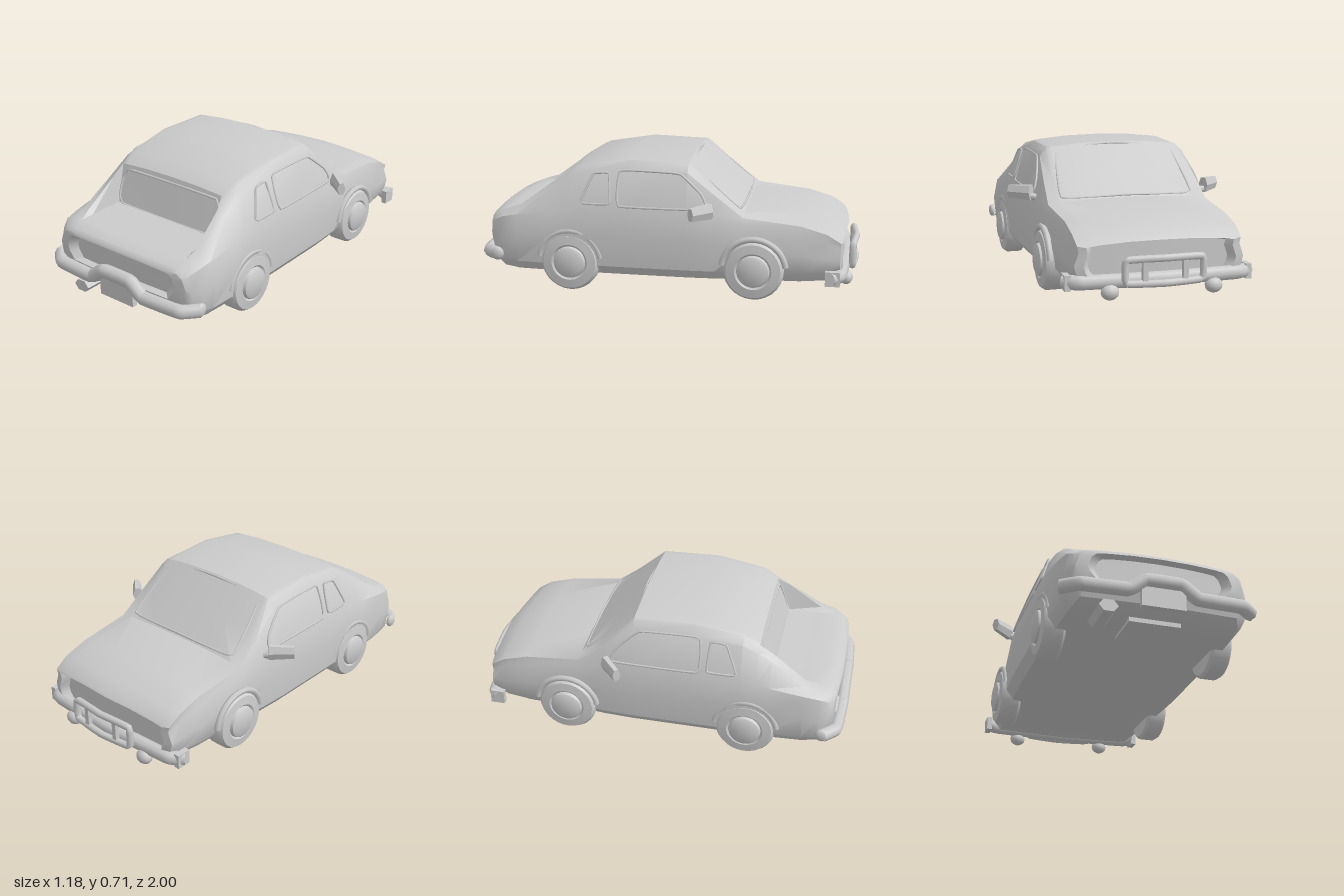
import * as THREE from 'three';
import { toCreasedNormals } from 'three/addons/utils/BufferGeometryUtils.js';

const grey = new THREE.MeshStandardMaterial({ color: 0xcccccc });
const mix = THREE.MathUtils.lerp;

// z, half width, floor y, shoulder y, roof edge x, roof edge y, centre top y, optional sunken deck y
const SECTIONS = [
  [-0.93, 0.425, 0.12, 0.27, 0.37, 0.31, 0.33],
  [-0.86, 0.44, 0.10, 0.31, 0.375, 0.355, 0.37],
  [-0.70, 0.45, 0.09, 0.34, 0.375, 0.395, 0.42],
  [-0.41, 0.465, 0.09, 0.38, 0.385, 0.425, 0.44],
  [-0.27, 0.48, 0.09, 0.43, 0.375, 0.54, 0.565],
  [-0.12, 0.487, 0.09, 0.44, 0.36, 0.675, 0.70],
  [0.19, 0.487, 0.09, 0.44, 0.36, 0.685, 0.71],
  [0.45, 0.487, 0.09, 0.44, 0.35, 0.645, 0.665],
  [0.53, 0.485, 0.09, 0.43, 0.345, 0.60, 0.615],
  [0.60, 0.485, 0.09, 0.42, 0.345, 0.555, 0.565, 0.41],
  [0.78, 0.475, 0.09, 0.39, 0.36, 0.425, 0.43, 0.40],
  [0.86, 0.465, 0.10, 0.375, 0.36, 0.40, 0.41, 0.40],
  [0.93, 0.44, 0.13, 0.35, 0.34, 0.38, 0.39],
  [0.95, 0.42, 0.20, 0.34, 0.33, 0.365, 0.375],
];

// Closed outline of one body section, counter-clockwise from the floor centre
function ring([z, w, yb, ys, rx, ry, top, deck], scale = 1, zAt = z) {
  const half = [
    [0, yb], [w - 0.05, yb], [w - 0.01, yb + 0.05], [w, mix(yb, ys, 0.6)],
    [w - 0.022, ys], [rx + 0.04, ry - (ry - ys) * 0.17], [rx, ry],
    [rx - 0.025, deck ?? mix(ry, top, 0.2)], [rx * 0.5, deck ?? mix(ry, top, 0.8)], [0, deck ?? top],
  ];
  const full = [...half, ...half.slice(1, -1).reverse().map(([x, y]) => [-x, y])];
  const cy = (yb + top) / 2;
  return full.map(([x, y]) => {
    const px = x * scale;
    const bend = z < -0.8 ? 0.06 * Math.abs(px) : z > 0.9 ? -0.12 * px * px : 0;
    return [px, cy + (y - cy) * scale, zAt + bend];
  });
}

// Skin a run of equal-length rings
function loft(rings) {
  const n = rings[0].length;
  const index = [];
  for (let i = 0; i < rings.length - 1; i++) {
    for (let j = 0; j < n; j++) {
      const a = i * n + j, b = i * n + (j + 1) % n;
      index.push(a, b, a + n, b, b + n, a + n);
    }
  }
  const g = new THREE.BufferGeometry();
  g.setAttribute('position', new THREE.Float32BufferAttribute(rings.flat(2), 3));
  g.setIndex(index);
  return toCreasedNormals(g, 0.6);
}

// Round bar through points, with tight corners
function bar(points, radius, closed = false, sides = 8) {
  const curve = new THREE.CatmullRomCurve3(points.map(p => new THREE.Vector3(...p)), closed, 'catmullrom', 0.12);
  return new THREE.TubeGeometry(curve, points.length * 8, radius, sides, closed);
}

const mirrorPath = half => [...half, ...half.filter(p => p[0] !== 0).reverse().map(([x, y, z]) => [-x, y, z])];

export function createModel() {
  const car = new THREE.Group();
  car.name = 'car';
  const add = (name, geometry, x = 0, y = 0, z = 0, parent = car) => {
    const mesh = new THREE.Mesh(geometry, grey);
    mesh.name = name;
    mesh.position.set(x, y, z);
    parent.add(mesh);
    return mesh;
  };

  // Body shell, with recessed nose and tail panels
  const nose = SECTIONS[0], tail = SECTIONS[SECTIONS.length - 1];
  add('body', loft([
    ring(nose, 0.001, -0.9), ring(nose, 0.83, -0.9), ring(nose, 0.9, -0.94),
    ...SECTIONS.map(s => ring(s)),
    ring(tail, 0.86, 0.955), ring(tail, 0.76, 0.92), ring(tail, 0.001, 0.92),
  ]));

  // Window surrounds
  add('windscreenFrame', bar([
    [0.35, 0.449, -0.385], [0.31, 0.665, -0.13], [0, 0.693, -0.13],
    [-0.31, 0.665, -0.13], [-0.35, 0.449, -0.385], [0, 0.452, -0.4],
  ], 0.006, true, 6));
  add('rearWindowFrame', bar([
    [0.31, 0.41, 0.6], [0.305, 0.58, 0.54], [-0.305, 0.58, 0.54], [-0.31, 0.41, 0.6],
  ], 0.007, true, 6));
  const doorWindow = [[0.23, 0.46], [0.23, 0.635], [-0.08, 0.63], [-0.2, 0.53], [-0.22, 0.46]];
  const quarterWindow = [[0.28, 0.47], [0.29, 0.62], [0.37, 0.615], [0.43, 0.47]];

  for (const side of [1, -1]) {
    const label = side > 0 ? 'left' : 'right';
    for (const [name, pts] of [['DoorWindowFrame', doorWindow], ['QuarterWindowFrame', quarterWindow]]) {
      const path = pts.map(([z, y]) => [side * (0.465 - (y - 0.44) * 0.32), y, z]);
      add(label + name, bar(path, 0.006, true, 6));
    }

    // Wheels: tyre profile with a raised hub cap on the outer face
    for (const [end, z] of [['Rear', 0.49], ['Front', -0.47]]) {
      const profile = [
        [0, -0.06], [0.14, -0.06], [0.155, -0.045], [0.155, 0.03], [0.14, 0.052],
        [0.095, 0.058], [0.085, 0.05], [0.08, 0.066], [0.065, 0.074], [0, 0.076],
      ].map(([r, h]) => new THREE.Vector2(r, h));
      const wheel = add(label + end + 'Wheel', toCreasedNormals(new THREE.LatheGeometry(profile, 28), 0.7), side * 0.435, 0.155, z);
      wheel.rotation.z = -side * Math.PI / 2;
      // Flared lip above the wheel
      const lip = add(label + end + 'Arch', new THREE.TorusGeometry(0.165, 0.016, 6, 20, Math.PI * 0.9), side * 0.472, 0.155, z);
      lip.rotation.set(0, Math.PI / 2, 0);
      lip.geometry.rotateZ(Math.PI * 0.05);
    }

    // Door mirror: angled faceted housing on a short stalk
    const mirror = new THREE.Group();
    mirror.name = label + 'Mirror';
    mirror.position.set(side * 0.525, 0.46, -0.205);
    mirror.rotation.y = -side * 0.72;
    car.add(mirror);
    const housing = new THREE.CylinderGeometry(0.045, 0.037, 0.13, 6);
    housing.rotateZ(Math.PI / 2);
    housing.scale(side, 1, 0.6);
    if (side < 0) housing.scale(-1, 1, 1).rotateY(Math.PI);
    add('mirrorHousing', toCreasedNormals(housing, 0.4), 0, 0, 0, mirror);
    add(label + 'MirrorStalk', bar([[side * 0.43, 0.43, -0.26], [side * 0.5, 0.445, -0.23]], 0.018, false, 6));

    // Driving lamp hung below the front bumper
    const lamp = new THREE.SphereGeometry(0.045, 12, 8);
    lamp.scale(1, 0.85, 0.8);
    add(label + 'DrivingLamp', lamp, side * 0.26, 0.083, -0.935);
    // Guard upright
    add(label + 'GuardUpright', new THREE.BoxGeometry(0.025, 0.13, 0.025), side * 0.1, 0.18, -0.972);
  }

  // Rear bumper, stepping up over the plate
  add('rearBumper', bar(mirrorPath([
    [0.475, 0.18, 0.885], [0.4, 0.175, 0.95], [0.175, 0.175, 0.962], [0.09, 0.235, 0.962],
  ]), 0.036, false, 8));
  for (const side of [1, -1]) {
    const tip = add(side > 0 ? 'leftBumperEnd' : 'rightBumperEnd', new THREE.SphereGeometry(0.036, 10, 8), side * 0.475, 0.18, 0.885);
    tip.scale.set(0.5, 1, 1);
  }
  add('plate', new THREE.BoxGeometry(0.22, 0.1, 0.03), 0, 0.15, 0.955);

  // Front bumper and guard loop
  add('frontBumper', bar(mirrorPath([
    [0.465, 0.13, -0.855], [0.4, 0.13, -0.905], [0, 0.13, -0.925],
  ]), 0.036, false, 8));
  for (const side of [1, -1]) {
    add(side > 0 ? 'leftFrontBumperEnd' : 'rightFrontBumperEnd', new THREE.BoxGeometry(0.03, 0.075, 0.075), side * 0.455, 0.13, -0.87);
  }
  add('frontGuard', bar([
    [0.19, 0.125, -0.965], [0.19, 0.235, -0.965], [0, 0.24, -0.982],
    [-0.19, 0.235, -0.965], [-0.19, 0.125, -0.965], [0, 0.12, -0.982],
  ], 0.018, true, 8));

  // Exhaust pipe and fuel tank under the tail
  const pipe = new THREE.CylinderGeometry(0.04, 0.04, 0.19, 6);
  pipe.rotateX(Math.PI / 2).rotateZ(Math.PI / 6);
  pipe.scale(1.2, 0.85, 1);
  add('exhaust', toCreasedNormals(pipe, 0.5), -0.265, 0.083, 0.86);
  add('fuelTank', new THREE.BoxGeometry(0.26, 0.05, 0.22), 0, 0.1, 0.73);

  return car;
}
